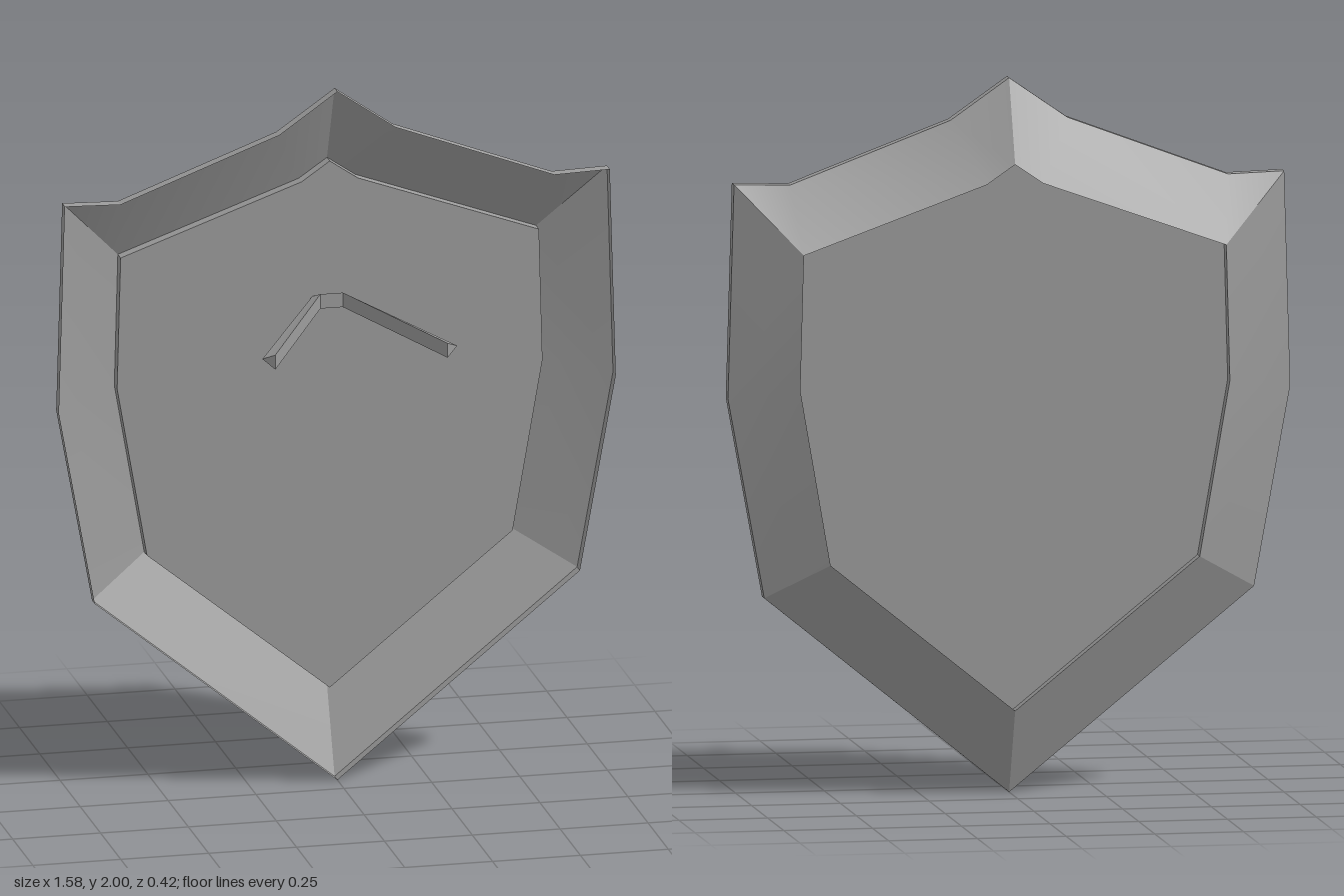
import * as THREE from 'three';
import { toCreasedNormals } from 'three/addons/utils/BufferGeometryUtils.js';

const material = new THREE.MeshStandardMaterial({ color: 0x9c9c9c, side: THREE.DoubleSide });
const CREASE = THREE.MathUtils.degToRad(16);

// Half outlines from top centre to bottom centre; the inner corner is
// repeated so that both outlines have the same number of points.
const OUTER = [[0, 2], [0.165, 1.885], [0.617, 1.715], [0.775, 1.72], [0.792, 1.12], [0.69, 0.56], [0, 0]];
const INNER = [[0, 1.77], [0.08, 1.715], [0.595, 1.53], [0.595, 1.53], [0.605, 1.15], [0.52, 0.66], [0, 0.24]];

// Mirrors a half outline into a full counter-clockwise loop
function fullLoop(half) {
  const mirrored = half.slice(1, -1).map(([x, y]) => [-x, y]);
  return [...mirrored, ...[...half].reverse()];
}

const atDepth = (loop, z) => loop.map(([x, y]) => new THREE.Vector3(x, y, z));

// Joins two point rows with quads, dropping collapsed triangles;
// gentle bends are smooth and strong ones stay sharp
function band(a, b, closed = true) {
  const points = [];
  const add = (...tri) => {
    if (new THREE.Triangle(...tri).getArea() > 1e-7) points.push(...tri);
  };
  const count = closed ? a.length : a.length - 1;
  for (let i = 0; i < count; i++) {
    const j = (i + 1) % a.length;
    add(a[i], a[j], b[j]);
    add(a[i], b[j], b[i]);
  }
  return toCreasedNormals(new THREE.BufferGeometry().setFromPoints(points), CREASE);
}

function addPart(parent, name, geometry) {
  const mesh = new THREE.Mesh(geometry, material);
  mesh.name = name;
  parent.add(mesh);
  return mesh;
}

export function createModel() {
  const model = new THREE.Group();
  model.name = 'shield';

  const outer = fullLoop(OUTER);
  const inner = fullLoop(INNER);
  const rimFront = -0.08, rimBack = -0.115, panelBack = -0.209, panelZ = -0.174;

  // Thin sheet: rim flange, sloping border, step forward to the panel
  addPart(model, 'rim', band(atDepth(outer, rimBack), atDepth(outer, rimFront)));
  addPart(model, 'slopedBorder', band(atDepth(outer, rimBack), atDepth(inner, panelBack)));
  addPart(model, 'panelStep', band(atDepth(inner, panelBack), atDepth(inner, panelZ)));

  // Flat panel
  const distinct = inner.filter(([x, y], i) => {
    const [px, py] = inner[(i + inner.length - 1) % inner.length];
    return x !== px || y !== py;
  });
  const shape = new THREE.Shape(distinct.map(([x, y]) => new THREE.Vector2(x, y)));
  addPart(model, 'panel', new THREE.ShapeGeometry(shape)).position.z = panelZ;

  // Grip: a triangular bar bent into two forward arms
  const grip = new THREE.Group();
  grip.name = 'grip';
  model.add(grip);
  const row = (list) => list.map((p) => new THREE.Vector3(...p));
  const low = row([[-0.243, 1.298, 0.208], [-0.037, 1.357, -0.13], [0.027, 1.357, -0.13], [0.247, 1.298, 0.208]]);
  const high = low.map((p) => p.clone().setY(p.y + 0.042));
  const ridge = row([[-0.274, 1.323, 0.183], [-0.05, 1.38, -0.174], [0.04, 1.38, -0.174], [0.28, 1.323, 0.183]]);
  addPart(grip, 'gripInnerFace', band(low, high, false));
  addPart(grip, 'gripUpperFace', band(high, ridge, false));
  addPart(grip, 'gripLowerFace', band(ridge, low, false));
  for (const [name, i] of [['gripRightEnd', 0], ['gripLeftEnd', 3]]) {
    const corners = i ? [low[i], ridge[i], high[i]] : [low[i], high[i], ridge[i]];
    const end = new THREE.BufferGeometry().setFromPoints(corners);
    end.computeVertexNormals();
    addPart(grip, name, end);
  }

  return model;
}
